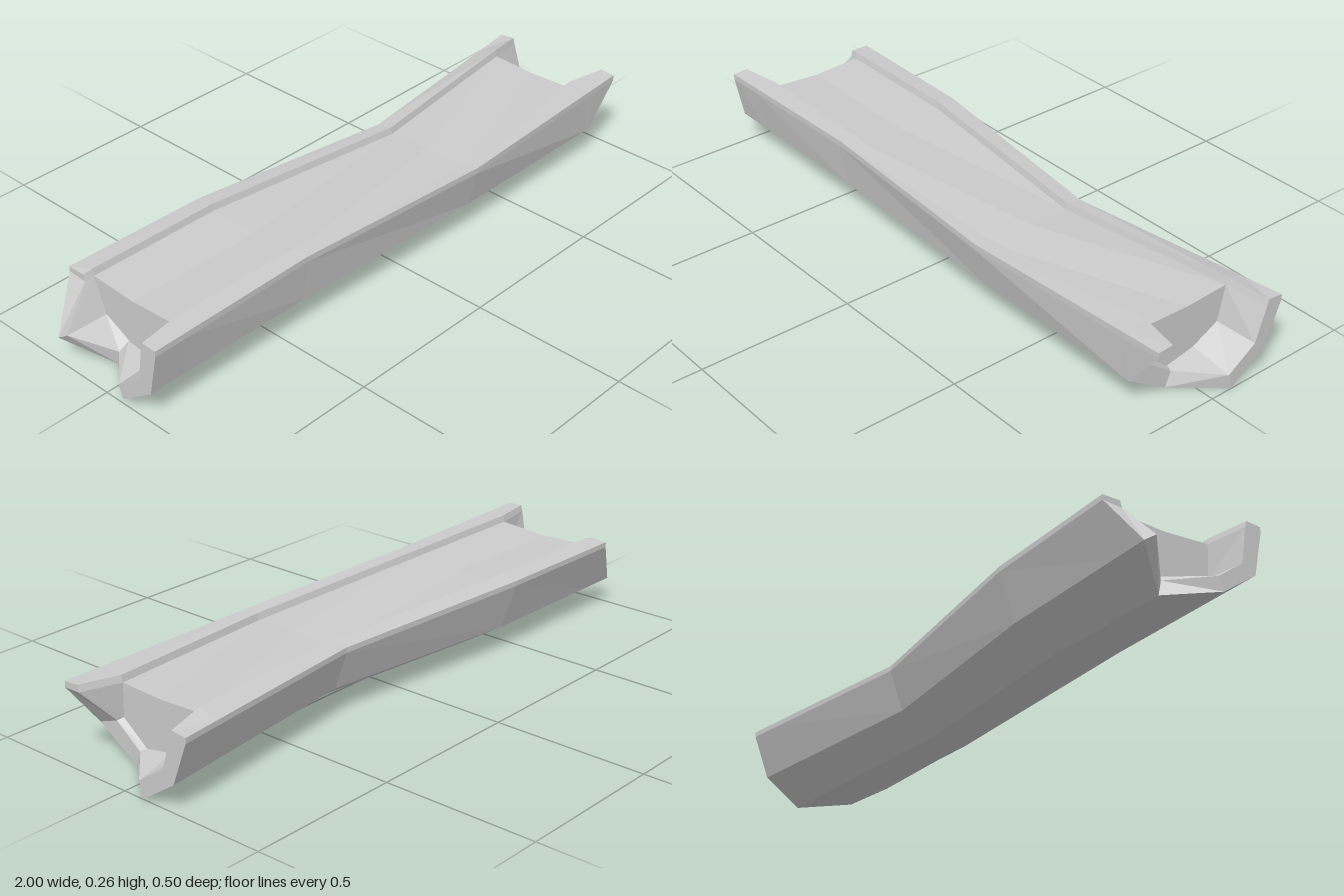
import * as THREE from 'three';

const mat = new THREE.MeshStandardMaterial({ color: 0xcccccc, flatShading: true, side: THREE.DoubleSide });

function meshFrom(name, tris) {
  const g = new THREE.BufferGeometry();
  g.setAttribute('position', new THREE.Float32BufferAttribute(tris.flat(2), 3));
  g.computeVertexNormals();
  const m = new THREE.Mesh(g, mat);
  m.name = name;
  return m;
}

// Triangles joining neighbouring rows of points
function loft(rows) {
  const t = [];
  for (let i = 0; i + 1 < rows.length; i++)
    for (let j = 0; j + 1 < rows[i].length; j++) {
      const a = rows[i][j], b = rows[i + 1][j], c = rows[i + 1][j + 1], d = rows[i][j + 1];
      t.push([a, b, c], [a, c, d]);
    }
  return t;
}

const mix = (a, b, t) => a.map((v, i) => v + (b[i] - v) * t);

// Outer section from front edge round the bottom to back edge, as [z, y]
const sections = [
  [[0.22, 0.24], [0.19, 0.10], [0.07, 0.015], [-0.07, 0.005], [-0.198, 0.085], [-0.25, 0.235]],
  [[0.21, 0.24], [0.19, 0.10], [0.07, 0.012], [-0.07, 0.01], [-0.19, 0.085], [-0.24, 0.235]],
  [[0.246, 0.225], [0.215, 0.10], [0.12, 0.025], [-0.01, 0.02], [-0.115, 0.09], [-0.16, 0.215]],
  [[0.222, 0.24], [0.215, 0.10], [0.073, 0.01], [-0.073, 0], [-0.195, 0.083], [-0.248, 0.22]],
];
// Jagged ends: x of every section corner
const endL = [-1, -1, -1, -0.9, -1, -0.9];
const endR = [1, 0.89, 0.89, 1, 1, 1];
// Inner edge of the rim at each station: front z, y, back z, y
const rimInner = [
  [0.17, 0.262, -0.19, 0.253], [0.15, 0.262, -0.187, 0.258], [0.155, 0.262, -0.18, 0.26],
  [0.197, 0.243, -0.11, 0.24], [0.14, 0.257, -0.17, 0.258], [0.172, 0.262, -0.197, 0.243],
];

export function createModel() {
  const group = new THREE.Group();

  // Six stations along the length; the outer two follow the jagged ends
  const at = (s, xs) => sections[s].map(([z, y], k) => [Array.isArray(xs) ? xs[k] : xs, y, z]);
  const L = at(0, endL), A = at(1, -0.42), B = at(2, 0.28), R = at(3, endR);
  const cut = (P, Q, x) => P.map((p, k) => mix(p, Q[k], (x - p[0]) / (Q[k][0] - p[0])));
  const outer = [L, cut(L, A, -0.87), A, B, cut(B, R, 0.87), R];
  group.add(meshFrom('shell', loft(outer)));

  // Rims: small upright edge, sloping top and a drop to the core
  const rim = (front) => outer.map((row, i) => {
    const e = row[front ? 0 : 5], r = rimInner[i];
    const z = front ? r[0] : r[2], y = front ? r[1] : r[3];
    const lip = front ? 0.019 : 0.017;
    return [e, [e[0], e[1] + lip, e[2]], [e[0], y, z], [e[0], y - 0.021, z + (front ? -0.006 : 0.006)]];
  });
  const rimF = rim(true), rimB = rim(false);
  group.add(meshFrom('frontRim', loft(rimF)), meshFrom('backRim', loft(rimB)));

  // Core top, slightly dished
  const dish = [1, 2, 3, 4].map((i) => {
    const f = rimF[i][3], b = rimB[i][3];
    const mid = mix(f, b, 0.5);
    mid[1] = 0.23;
    return [f, mid, b];
  });
  group.add(meshFrom('coreTop', loft(dish)));

  // Hollow ends: cut face of the shell, inside walls and end of the core
  const lipInner = [[0.145, 0.125], [0.055, 0.058], [-0.06, 0.052], [-0.155, 0.115]];
  const deepInner = [[0.138, 0.13], [0.05, 0.062], [-0.05, 0.08], [-0.14, 0.125]];
  for (const [name, i, j, d] of [['left', 5, 4, 3], ['right', 0, 1, 0]]) {
    const o = outer[i], f = rimF[i], b = rimB[i];
    const cutOuter = [f[1], ...o, b[1]];
    const cutInner = [f[2], f[3], ...lipInner.map(([z, y], k) => [o[k + 1][0], y, z]), b[3], b[2]];
    const x = outer[j][0][0];
    const ring = [rimF[j][3], ...deepInner.map(([z, y]) => [x, y, z]), rimB[j][3]];
    group.add(meshFrom(name + 'CutFace', loft([cutOuter, cutInner])));
    group.add(meshFrom(name + 'InsideWall', loft([cutInner.slice(1, 7), ring])));
    const mid = dish[d][1];
    group.add(meshFrom(name + 'CoreEnd', ring.slice(1).map((p, k) => [mid, ring[k], p])));
  }
  return group;
}
